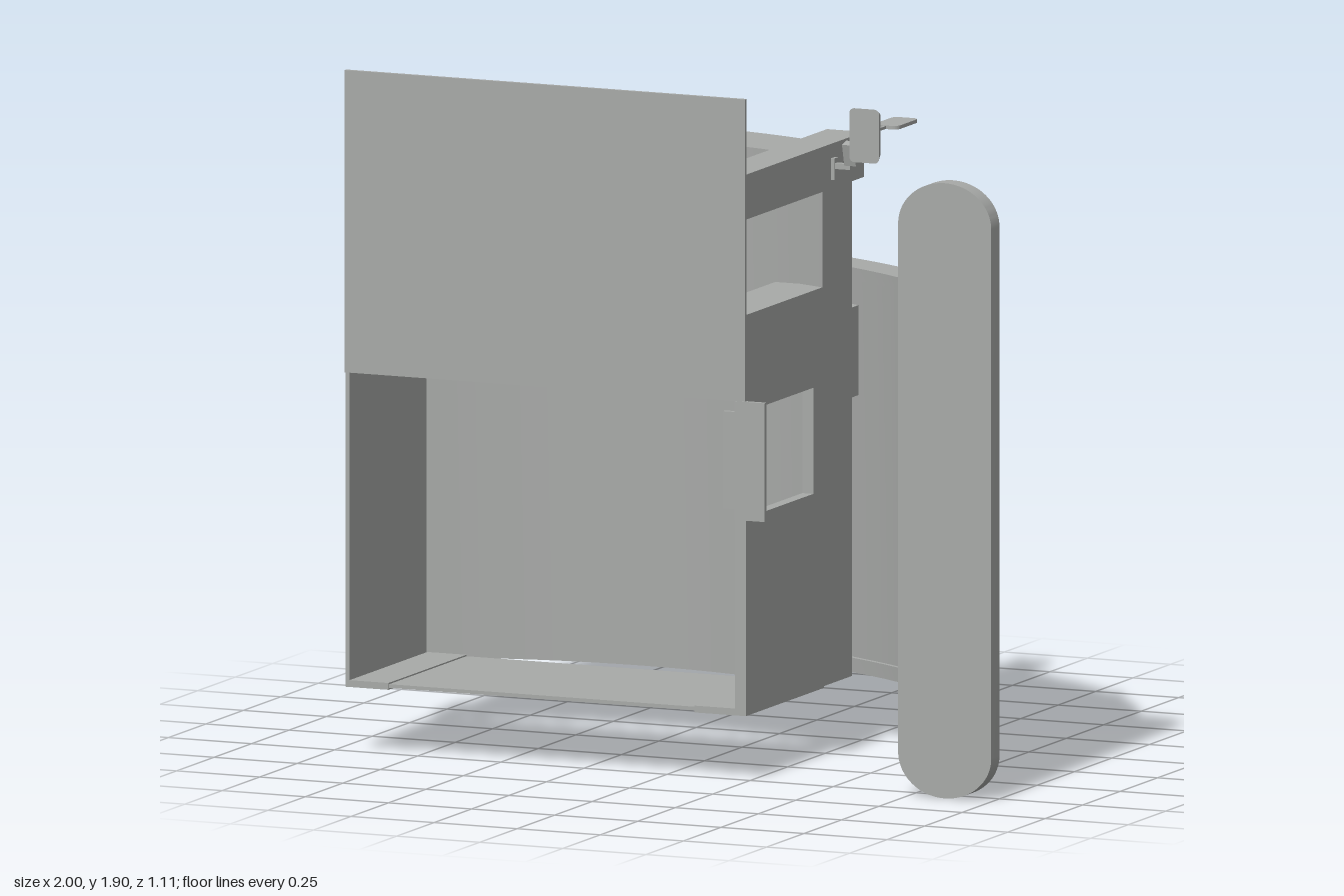
import * as THREE from 'three';
import { toCreasedNormals } from 'three/addons/utils/BufferGeometryUtils.js';

const grey = new THREE.MeshStandardMaterial({ color: 0xa8aaa8 });
grey.name = 'plain grey';

export function createModel() {
  const model = new THREE.Group();
  model.name = 'booth';

  const add = (name, geometry) => {
    const mesh = new THREE.Mesh(geometry, grey);
    mesh.name = name;
    model.add(mesh);
    return mesh;
  };
  // box given by its limits on each axis
  const box = (name, x0, x1, y0, y1, z0, z1) => {
    const mesh = add(name, new THREE.BoxGeometry(x1 - x0, y1 - y0, z1 - z0));
    mesh.position.set((x0 + x1) / 2, (y0 + y1) / 2, (z0 + z1) / 2);
    return mesh;
  };
  // plan outline of [x, z] points raised from y0 to y1
  const prism = (name, points, y0, y1) => {
    const shape = new THREE.Shape(points.map(([x, z]) => new THREE.Vector2(x, -z)));
    const g = new THREE.ExtrudeGeometry(shape, { depth: y1 - y0, bevelEnabled: false });
    g.rotateX(-Math.PI / 2).translate(0, y0, 0);
    return add(name, toCreasedNormals(g, 0.5));
  };

  // curved back block of the booth
  const arc = (mid, rise) => Array.from({ length: 17 }, (_, i) => {
    const t = i / 8 - 1;
    return [-0.347 + t * 0.602, mid + rise * t * t];
  });
  const backPlan = [...arc(-0.09, 0.12), ...arc(-0.31, 0.14).reverse()];
  prism('curvedBack', backPlan, 0.19, 1.57);
  const inner = ([x]) => x > -0.85 && x < 0.15;
  prism('curvedBackTop', backPlan.filter(inner), 1.57, 1.66);

  // side walls, the one on the left with a hatch opening
  box('rightWall', -0.949, -0.937, 0.19, 1.3, 0.02, 0.54);
  const wall = new THREE.Shape();
  wall.moveTo(-0.54, 0.19).lineTo(-0.02, 0.19).lineTo(-0.02, 1.3).lineTo(-0.54, 1.3).closePath();
  const hole = new THREE.Path();
  hole.moveTo(-0.5, 0.735).lineTo(-0.5, 1.03).lineTo(-0.09, 1.03).lineTo(-0.09, 0.735).closePath();
  wall.holes.push(hole);
  const wallGeo = new THREE.ExtrudeGeometry(wall, { depth: 0.033, bevelEnabled: false });
  add('leftWall', wallGeo.rotateY(Math.PI / 2).translate(0.222, 0, 0));

  // front panel and hatch flap
  box('frontPanel', -0.949, 0.255, 1.06, 1.69, 0.535, 0.547);
  box('frontSign', -0.949, 0.255, 1.69, 1.9, 0.535, 0.547);
  box('hatchFlap', 0.19, 0.315, 0.76, 1.03, 0.535, 0.549);
  for (const y of [0.73, 1.03]) box('hatchFlapEdge', 0.225, 0.315, y, y + 0.03, 0.535, 0.549);

  // floor with a thinner middle plate
  box('floorPlate', -0.82, 0.1, 0.19, 0.2, 0.02, 0.535);
  box('floorStripRight', -0.949, -0.82, 0.185, 0.204, 0.02, 0.54);
  box('floorStripLeft', 0.1, 0.255, 0.185, 0.204, 0.02, 0.54);

  // counter around the inside with pegs
  box('counterRight', -0.94, -0.82, 1.26, 1.3, 0, 0.535);
  box('counterLeft', 0.1, 0.24, 1.26, 1.3, 0, 0.535);
  box('counterFront', -0.82, 0.1, 1.26, 1.3, 0.38, 0.535);
  box('counterLip', -0.82, 0.1, 1.26, 1.295, 0.363, 0.38);
  for (let i = 0; i < 5; i++) {
    const x = -0.705 + i * 0.167;
    box('peg', x - 0.008, x + 0.008, 1.3, 1.34, 0.38, 0.397);
  }

  // roof beams
  box('beamRight', -0.949, -0.84, 1.565, 1.69, -0.25, 0.535);
  box('beamLeft', 0.143, 0.255, 1.565, 1.69, -0.25, 0.535);

  // big curved screen with rims along the top and bottom
  const curve = (pts) => new THREE.CatmullRomCurve3(pts.map(([x, z]) => new THREE.Vector3(x, 0, z)));
  const outer = curve([[-0.98, -0.45], [-0.73, -0.535], [-0.47, -0.555], [-0.22, -0.54], [0.02, -0.475],
    [0.24, -0.385], [0.45, -0.265], [0.61, -0.14], [0.745, 0.015], [0.83, 0.17], [0.885, 0.33], [0.915, 0.5]]);
  const innerCurve = curve([[-0.9, -0.355], [-0.69, -0.43], [-0.47, -0.45], [-0.24, -0.435], [0, -0.375],
    [0.2, -0.285], [0.39, -0.18], [0.54, -0.06], [0.65, 0.06], [0.73, 0.2], [0.78, 0.36], [0.805, 0.5]]);
  const band = (name, inset, end, y0, y1) => {
    const a = [], b = [];
    for (let i = 0; i <= 33; i++) {
      const t = inset + (end - inset) * i / 33;
      const p = outer.getPoint(t), q = innerCurve.getPoint(t);
      const d = q.clone().sub(p).multiplyScalar(inset * 10);
      a.push([p.x + d.x, p.z + d.z]);
      b.push([q.x - d.x, q.z - d.z]);
    }
    prism(name, [...a, ...b.reverse()], y0, y1);
  };
  band('screen', 0.012, 1, 0.22, 1.27);
  band('screenRimBottom', 0, 1, 0.18, 0.22);
  band('screenRimTop', 0, 1, 1.27, 1.305);

  // brackets between booth and screen
  box('bracketRight', -0.82, -0.69, 0.95, 1.2, -0.44, -0.22);
  box('bracketLeft', 0.09, 0.22, 0.95, 1.2, -0.32, -0.18);

  // rounded upright at the end of the screen
  const post = new THREE.Shape();
  post.moveTo(1, 0.12).lineTo(1, 1.59);
  post.absellipse(0.86, 1.59, 0.14, 0.12, 0, Math.PI, false);
  post.lineTo(0.72, 0.12);
  post.absellipse(0.86, 0.12, 0.14, 0.12, Math.PI, Math.PI * 2, false);
  const postGeo = new THREE.ExtrudeGeometry(post, { depth: 0.055, bevelEnabled: false, curveSegments: 24 });
  add('upright', toCreasedNormals(postGeo.translate(0, 0, 0.5), 0.5));

  // rounded rectangle in x and y, centred on the origin
  const rounded = (w, h, r) => {
    const s = new THREE.Shape();
    for (const [i, [x, y]] of [[1, 1], [-1, 1], [-1, -1], [1, -1]].entries()) {
      s.absarc(x * (w / 2 - r), y * (h / 2 - r), r, i * Math.PI / 2, (i + 1) * Math.PI / 2, false);
    }
    return s;
  };
  // floating head with a stem and a flat pad
  const headGeo = new THREE.ExtrudeGeometry(rounded(0.09, 0.15, 0.015), { depth: 0.038, bevelEnabled: false, curveSegments: 4 });
  const p = headGeo.attributes.position;
  for (let i = 0; i < p.count; i++) {
    if (p.getZ(i) < 0.01) p.setXY(i, p.getX(i) * 0.72, p.getY(i) * 0.84);
  }
  add('head', toCreasedNormals(headGeo, 0.5)).position.set(0.618, 1.825, 0.517);
  box('headStem', 0.613, 0.621, 1.824, 1.832, 0.41, 0.52);
  const padGeo = new THREE.ExtrudeGeometry(rounded(0.076, 0.145, 0.02), { depth: 0.01, bevelEnabled: false, curveSegments: 4 });
  add('pad', padGeo.rotateX(-Math.PI / 2)).position.set(0.617, 1.823, 0.343);

  // small tilted lamp on the left beam
  box('lampArm', 0.255, 0.31, 1.62, 1.636, -0.05, -0.034);
  box('lampFoot', 0.255, 0.265, 1.59, 1.65, -0.055, -0.028);
  box('lampHead', 0.295, 0.33, 1.635, 1.697, -0.05, -0.02).rotation.x = 0.25;

  // chamfered box on the right wall
  prism('sideBox', [[-0.945, 0.02], [-0.985, 0.045], [-1, 0.065], [-1, 0.113], [-0.945, 0.113]], 0.31, 0.517);

  return model;
}
